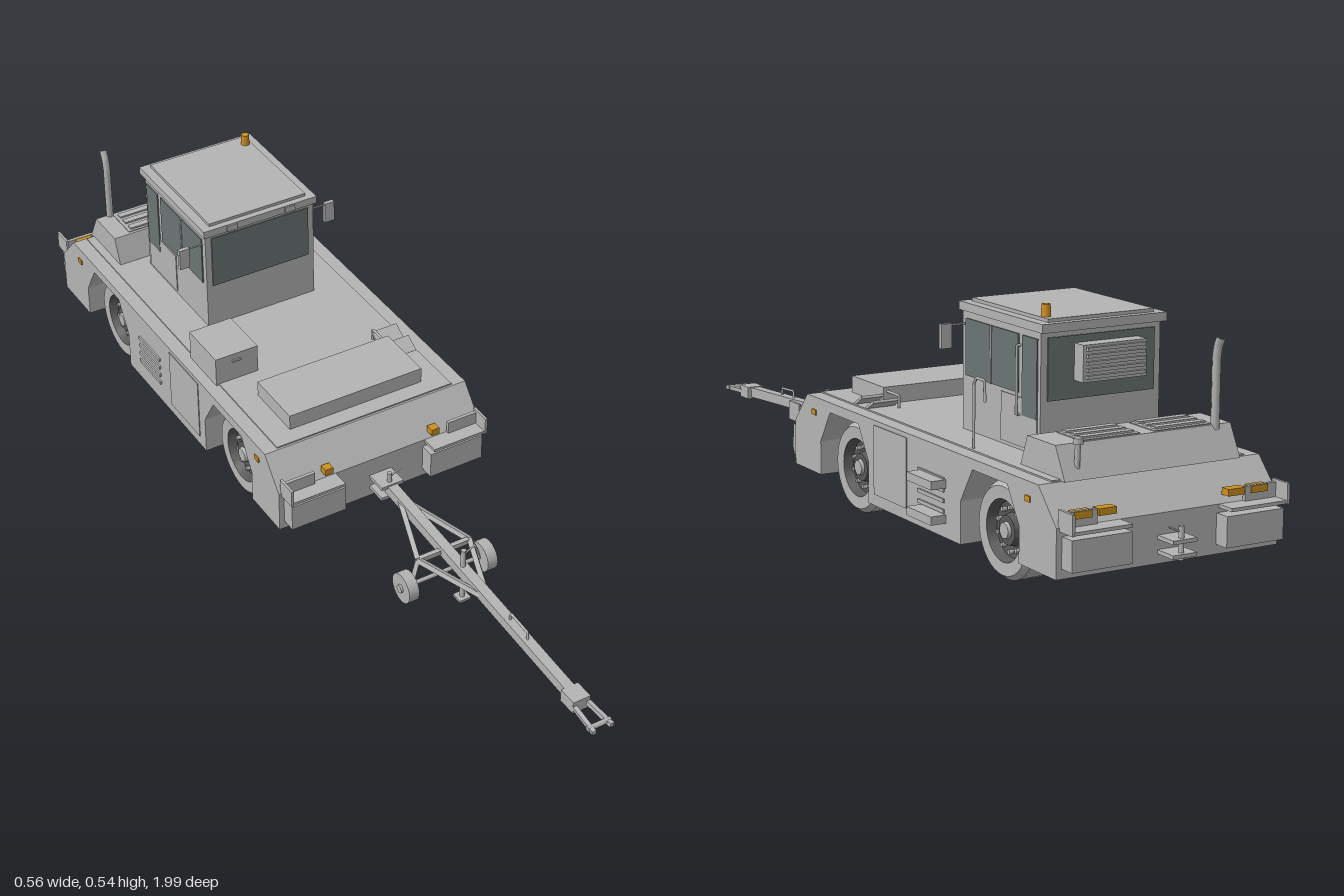
import * as THREE from 'three';
import { toCreasedNormals } from 'three/addons/utils/BufferGeometryUtils.js';

export function createModel() {
  const root = new THREE.Group();
  root.name = 'towTractorWithTowbar';
  const g = new THREE.Group();
  g.name = 'vehicle';
  g.position.x = -0.0155;
  root.add(g);

  const mat = (name, color) => {
    const m = new THREE.MeshStandardMaterial({ color });
    m.name = name;
    return m;
  };
  const grey = mat('paintGrey', 0xb4b4b4);
  const dark = mat('darkMetal', 0x585858);
  const glass = mat('windowGlass', 0x6a7573);
  const orange = mat('amberLamp', 0xcc8f20);

  const add = (name, geo, m = grey) => {
    const mesh = new THREE.Mesh(geo, m);
    mesh.name = name;
    g.add(mesh);
    return mesh;
  };
  const box = (name, x0, x1, y0, y1, z0, z1, m = grey) =>
    add(name, new THREE.BoxGeometry(x1 - x0, y1 - y0, z1 - z0)
      .translate((x0 + x1) / 2, (y0 + y1) / 2, (z0 + z1) / 2), m);
  const V = (p) => new THREE.Vector3(...p);
  // straight bar between two points, round or square
  const bar = (name, a, b, r, sides = 10, m = grey) => {
    const d = V(b).sub(V(a));
    const geo = new THREE.CylinderGeometry(r, r, d.length(), sides);
    if (sides === 4) geo.rotateY(Math.PI / 4);
    const mesh = add(name, sides < 8 ? toCreasedNormals(geo, 0.5) : geo, m);
    mesh.position.copy(V(a).add(V(b)).multiplyScalar(0.5));
    mesh.quaternion.setFromUnitVectors(new THREE.Vector3(0, 1, 0), d.normalize());
    return mesh;
  };
  const tube = (name, pts, r) => {
    const path = new THREE.CurvePath();
    for (let i = 1; i < pts.length; i++) path.add(new THREE.LineCurve3(V(pts[i - 1]), V(pts[i])));
    return add(name, new THREE.TubeGeometry(path, 48, r, 8));
  };
  // side outline given as [z, y], extruded across the width
  const slab = (name, pts, x0, x1) => {
    const s = new THREE.Shape(pts.map(([z, y]) => new THREE.Vector2(z, y)));
    const geo = new THREE.ExtrudeGeometry(s, { depth: x1 - x0, bevelEnabled: false });
    return add(name, geo.rotateY(-Math.PI / 2).translate(x1, 0, 0));
  };

  // chassis with octagonal wheel arches
  const W = 0.2585, axles = [-0.093, -0.698];
  const arch = (z) => [[z - 0.11, 0.14], [z - 0.065, 0.213], [z + 0.065, 0.213], [z + 0.11, 0.14]];
  const [zf, zr] = axles;
  slab('body', [
    [0.14, 0.065], [0.14, 0.165], [0.08, 0.235], [-0.875, 0.235], [-0.94, 0.165], [-0.94, 0.065],
    [zr - 0.11, 0.065], ...arch(zr), [zr + 0.11, 0.05],
    [zf - 0.11, 0.05], ...arch(zf), [zf + 0.11, 0.065]], -W, W);
  box('underbody', -0.145, 0.145, 0.052, 0.22, -0.85, 0.05);
  box('deckPlate', -0.225, 0.225, 0.235, 0.238, -0.87, 0.075);

  // road wheels
  const tyre = [[0.064, -0.036], [0.09, -0.0375], [0.1, -0.025], [0.1, 0.025], [0.09, 0.0375], [0.064, 0.036]];
  const rim = [[0.064, 0.036], [0.057, 0.016], [0.034, 0.012], [0.03, 0.028], [0, 0.028]];
  const lathe = (pts) => toCreasedNormals(
    new THREE.LatheGeometry(pts.map(([r, h]) => new THREE.Vector2(r, h)), 36), 0.6);
  for (const z of axles) for (const s of [-1, 1]) {
    const place = (mesh) => {
      mesh.rotation.z = -s * Math.PI / 2;
      mesh.position.set(s * 0.19, 0.1, z);
    };
    place(add('tyre', lathe(tyre)));
    place(add('wheelRim', lathe(rim), dark));
    place(add('wheelBack', new THREE.CylinderGeometry(0.064, 0.064, 0.01, 32).translate(0, -0.03, 0)));
    place(add('hubCap', new THREE.CylinderGeometry(0.016, 0.018, 0.008, 16).translate(0, 0.031, 0)));
    for (let i = 0; i < 10; i++) {
      const a = i * Math.PI / 5;
      place(add('wheelNut', new THREE.CylinderGeometry(0.005, 0.005, 0.012, 6)
        .translate(0.045 * Math.cos(a), 0.018, 0.045 * Math.sin(a))));
    }
  }

  // bumper blocks, lamp guards and couplings at both ends
  for (const e of [1, -1]) {
    const zz = (name, x0, x1, y0, y1, a, b, m) => {
      const base = e > 0 ? 0.14 : -0.94;
      return box(name, x0, x1, y0, y1, Math.min(base + e * a, base + e * b), Math.max(base + e * a, base + e * b), m);
    };
    for (const s of [-1, 1]) {
      const sx = (name, a, b, ...r) => zz(name, Math.min(s * a, s * b), Math.max(s * a, s * b), ...r);
      sx('bumperBlock', 0.11, 0.246, 0.085, 0.148, 0, 0.035);
      sx('guardSide', 0.246, 0.252, 0.158, 0.2, -0.005, 0.045);
      sx('guardShelf', 0.115, 0.25, 0.158, 0.165, -0.005, 0.042);
      sx('guardPlate', 0.172, 0.25, 0.165, 0.195, 0, 0.008);
      if (e > 0) sx('frontLamp', 0.127, 0.147, 0.177, 0.193, -0.01, 0.01, orange);
      else for (const c of [0.15, 0.205]) sx('rearLamp', c - 0.02, c + 0.02, 0.18, 0.194, -0.012, 0.01, orange);
    }
    for (const y of [0.085, 0.114]) zz('couplingPlate', -0.028, 0.028, y, y + 0.008, 0, 0.052);
    const pz = e > 0 ? 0.178 : -0.978;
    bar('couplingPin', [0, 0.078, pz], [0, 0.145, pz], 0.006);
    bar('pinHandle', [0, 0.133, pz], [0.03, 0.147, pz], 0.002);
  }

  // side steps, louvres and markers
  for (const y of [0.08, 0.153]) box('sideStep', W, W + 0.035, y, y + 0.018, -0.53, -0.43);
  for (const s of [-1, 1]) {
    for (let i = 0; i < 4; i++) {
      const y = 0.1 + i * 0.022;
      box('sideLouvre', s * W - 0.004, s * W + 0.004, y, y + 0.008, -0.525, -0.42);
    }
    for (const z of [0.045, -0.84]) box('sideMarker', s * W - 0.003, s * W + 0.003, 0.195, 0.207, z - 0.009, z + 0.009, orange);
    box('accessPanel', s * W - 0.002, s * W + 0.002, 0.075, 0.225, -0.37, -0.23);
  }

  // deck boxes, footplates and grab loop
  box('frontCover', -0.17, 0.17, 0.235, 0.275, -0.11, 0.035);
  box('toolBox', -0.232, -0.125, 0.235, 0.307, -0.315, -0.19);
  box('toolBoxLatch', -0.19, -0.168, 0.287, 0.292, -0.19, -0.186);
  for (const z of [-0.143, -0.09]) {
    const p = box('footplate', -0.033, 0.033, -0.003, 0.003, -0.02, 0.02);
    p.position.set(0.19, 0.247, z);
    p.rotation.x = 0.55;
  }
  tube('footplateLoop', [[0.16, 0.235, -0.16], [0.16, 0.265, -0.16], [0.16, 0.265, -0.09], [0.16, 0.235, -0.06]], 0.003);

  // engine cover with vents, exhaust and filler cap
  slab('engineCover', [[-0.725, 0.235], [-0.75, 0.3], [-0.85, 0.3], [-0.885, 0.235]], -0.205, 0.205);
  for (const x of [-0.095, 0.075]) {
    box('engineVent', x - 0.068, x + 0.068, 0.299, 0.302, -0.845, -0.757);
    for (let i = 0; i < 3; i++) box('ventSlat', x - 0.06, x + 0.06, 0.302, 0.306, -0.835 + i * 0.028, -0.819 + i * 0.028);
  }
  tube('exhaustPipe', [[-0.169, 0.24, -0.848], [-0.169, 0.43, -0.848], [-0.169, 0.455, -0.852], [-0.169, 0.477, -0.862]], 0.009);
  add('fillerCap', new THREE.CylinderGeometry(0.01, 0.01, 0.012, 16).translate(0.168, 0.309, -0.872));
  bar('fillerNeck', [0.168, 0.24, -0.868], [0.168, 0.305, -0.872], 0.006);

  // cab, roof and glazing
  box('cab', -0.141, 0.141, 0.235, 0.488, -0.695, -0.397);
  box('roof', -0.147, 0.147, 0.487, 0.505, -0.71, -0.39);
  box('roofPanel', -0.125, 0.125, 0.505, 0.512, -0.695, -0.405);
  for (const x of [-0.075, 0.075]) box('roofLamp', x - 0.013, x + 0.013, 0.489, 0.504, -0.392, -0.386);
  box('windscreen', -0.126, 0.126, 0.348, 0.478, -0.399, -0.394, glass);
  box('rearWindow', -0.126, 0.126, 0.348, 0.475, -0.698, -0.693, glass);
  for (const s of [-1, 1]) {
    const x = s * 0.141;
    box('sideWindow', x - 0.003, x + 0.003, 0.353, 0.472, -0.615, -0.412, glass);
    box('rearSideWindow', x - 0.003, x + 0.003, 0.31, 0.472, -0.685, -0.63, glass);
    box('doorPanel', x - 0.002, x + 0.002, 0.245, 0.345, -0.685, -0.55);
    box('windowBar', x - 0.005, x + 0.005, 0.353, 0.472, -0.515, -0.509);
    // mirrors
    bar('mirrorArm', [s * 0.135, 0.46, -0.41], [s * 0.19, 0.46, -0.41], 0.002);
    box('mirror', s * 0.19 - 0.0125, s * 0.19 + 0.0125, 0.413, 0.464, -0.415, -0.405);
  }

  // air conditioner behind the cab
  box('airConditioner', -0.085, 0.065, 0.385, 0.46, -0.73, -0.69);
  for (let i = 0; i < 5; i++) box('airConditionerSlat', -0.078, 0.058, 0.392 + i * 0.014, 0.399 + i * 0.014, -0.737, -0.73);

  // beacon and rails
  add('beacon', new THREE.CylinderGeometry(0.009, 0.0105, 0.026, 16).translate(0.111, 0.524, -0.665), orange);
  tube('handrail', [[0.215, 0.235, -0.565], [0.215, 0.37, -0.565], [0.215, 0.383, -0.575], [0.215, 0.383, -0.605], [0.215, 0.34, -0.608]], 0.003);
  tube('doorGrabRail', [[0.14, 0.31, -0.62], [0.15, 0.31, -0.62], [0.15, 0.45, -0.62], [0.14, 0.45, -0.62]], 0.003);

  // towbar main beam, head and fork
  bar('towbarBeam', [0, 0.107, 0.18], [0, 0.066, 0.89], 0.017, 4);
  box('towbarHead', -0.021, 0.021, 0.05, 0.08, 0.88, 0.925);
  for (const s of [-1, 1]) {
    bar('towbarFork', [s * 0.016, 0.064, 0.92], [s * 0.022, 0.061, 1], 0.007, 4);
    // diamond braces, axle legs and small wheels
    const corner = [s * 0.066, 0.09, 0.405];
    bar('braceRear', [0, 0.104, 0.22], corner, 0.008, 4);
    bar('braceFront', corner, [0, 0.082, 0.58], 0.008, 4);
    bar('axleLeg', corner, [s * 0.086, 0.036, 0.412], 0.007, 4);
    bar('towbarWheel', [s * 0.088, 0.0355, 0.412], [s * 0.113, 0.0355, 0.412], 0.0355, 20);
    bar('wheelBolt', [s * 0.113, 0.0355, 0.412], [s * 0.118, 0.0355, 0.412], 0.01, 12);
  }
  bar('towbarAxle', [-0.09, 0.0355, 0.412], [0.09, 0.0355, 0.412], 0.005);
  bar('crossBrace', [-0.066, 0.09, 0.405], [0.066, 0.09, 0.405], 0.008, 4);
  bar('forkPin', [-0.028, 0.062, 0.985], [0.028, 0.062, 0.985], 0.006);

  // parking jack and carry handle
  bar('jackPost', [0, 0.012, 0.48], [0, 0.145, 0.48], 0.006);
  box('jackFoot', -0.014, 0.014, 0.01, 0.016, 0.466, 0.494);
  bar('jackCrank', [0, 0.133, 0.48], [0.03, 0.147, 0.48], 0.002);
  tube('carryHandle', [[0, 0.075, 0.73], [0, 0.104, 0.725], [0, 0.108, 0.665], [0, 0.08, 0.66]], 0.003);

  return root;
}
